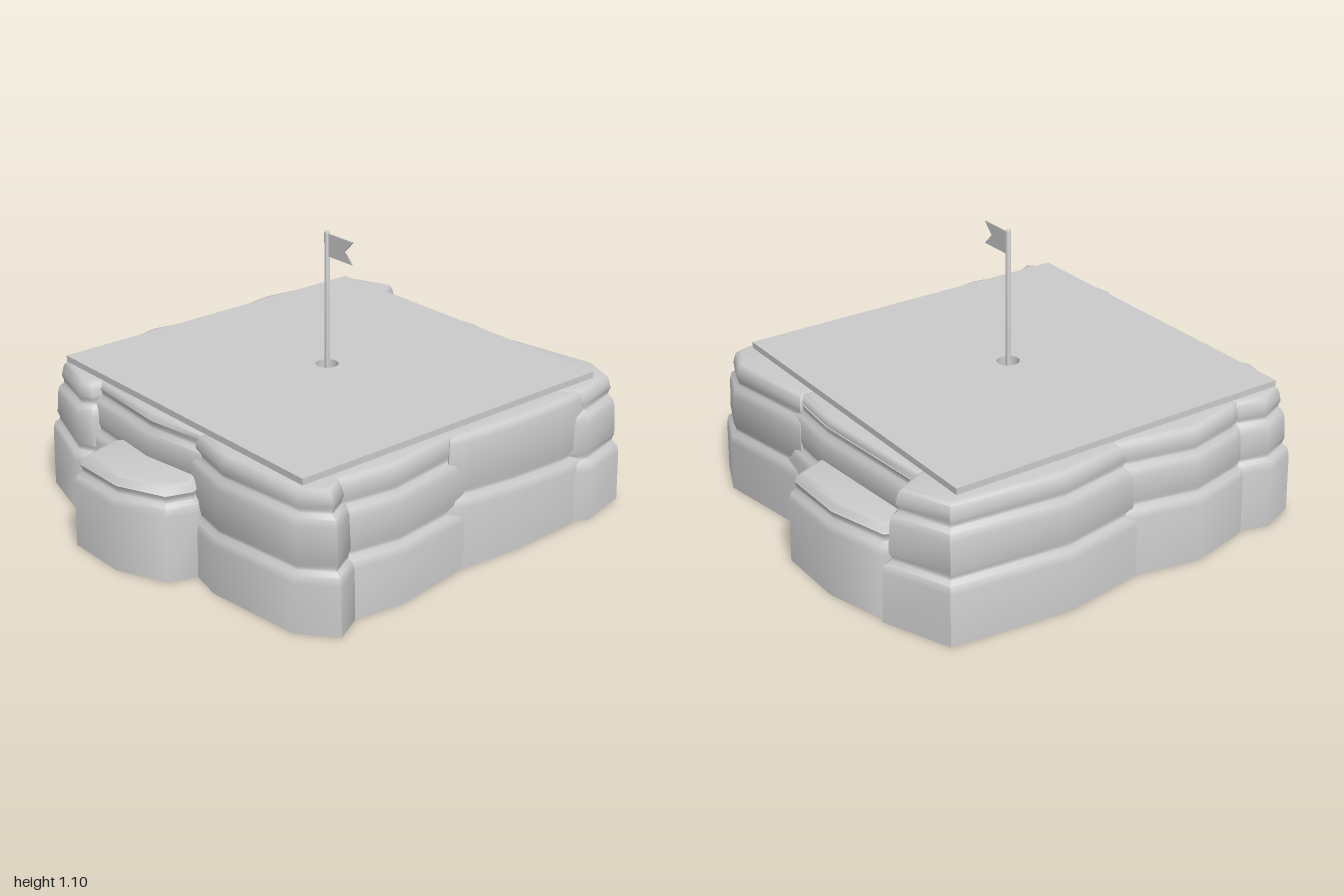
import * as THREE from 'three';
import { toCreasedNormals } from 'three/addons/utils/BufferGeometryUtils.js';

const grey = new THREE.MeshStandardMaterial({ color: 0xcccccc, side: THREE.DoubleSide });

// Moves every corner of an outline inwards by d (mitred).
function inset(pts, d) {
  const n = pts.length;
  return pts.map((p, i) => {
    const a = pts[(i + n - 1) % n], b = pts[(i + 1) % n];
    const u = new THREE.Vector2(p[0] - a[0], p[1] - a[1]).normalize();
    const v = new THREE.Vector2(b[0] - p[0], b[1] - p[1]).normalize();
    const k = d / Math.max(0.45, 1 + u.dot(v));
    return [p[0] + (u.y + v.y) * k, p[1] - (u.x + v.x) * k];
  });
}

// Hollow boulder: an outline [x, z] lofted through stepped layers.
// Each groove is [y, slope along x, slope along z].
function rock(name, outline, height, grooves) {
  const area = outline.reduce((s, p, i) => {
    const q = outline[(i + 1) % outline.length];
    return s + p[0] * q[1] - q[0] * p[1];
  }, 0);
  const pts = area > 0 ? outline.slice().reverse() : outline;
  const n = pts.length;
  const c = pts.reduce((s, p) => [s[0] + p[0] / n, s[1] + p[1] / n], [0, 0]);

  // profile rows: [y, inset, slope x, slope z]
  const rows = [[0, 0, 0, 0]];
  let d = 0.004;
  grooves.forEach(([g, sx = 0, sz = 0]) => {
    rows.push([g - 0.045, d, sx, sz], [g - 0.015, d + 0.007, sx, sz], [g, d + 0.024, sx, sz],
      [g + 0.012, d + 0.025, sx, sz], [g + 0.03, d + 0.018, sx, sz]);
    d += 0.023;
  });
  rows.push([height - 0.03, d, 0, 0], [height - 0.012, d + 0.006, 0, 0],
    [height - 0.003, d + 0.015, 0, 0], [height, d + 0.028, 0, 0]);

  const pos = [], idx = [];
  rows.forEach(([y, r, sx, sz]) => {
    inset(pts, r).forEach(([x, z]) => pos.push(x, y + sx * (x - c[0]) + sz * (z - c[1]), z));
  });
  for (let j = 0; j < rows.length - 1; j++) {
    for (let i = 0; i < n; i++) {
      const a = j * n + i, b = j * n + (i + 1) % n;
      idx.push(a, b, b + n, a, b + n, a + n);
    }
  }
  // flat cap
  const top = (rows.length - 1) * n;
  pos.push(c[0], height, c[1]);
  for (let i = 0; i < n; i++) idx.push(top + i, top + (i + 1) % n, top + n);

  const geo = new THREE.BufferGeometry();
  geo.setAttribute('position', new THREE.Float32BufferAttribute(pos, 3));
  geo.setIndex(idx);
  return mesh(name, toCreasedNormals(geo, 0.9));
}

function mesh(name, geometry, x = 0, y = 0, z = 0) {
  const m = new THREE.Mesh(geometry, grey);
  m.name = name;
  m.position.set(x, y, z);
  return m;
}

const vec = (list) => list.map(([x, y]) => new THREE.Vector2(x, y));

export function createModel() {
  const model = new THREE.Group();
  model.name = 'flagMound';

  // Ring of overlapping boulders
  const rocks = new THREE.Group();
  rocks.name = 'rocks';
  rocks.add(
    rock('frontLeftRock', [[0.08, 0.77], [0.35, 0.83], [0.75, 0.79], [0.88, 0.68], [0.81, 0.55],
      [0.5, 0.4], [0.15, 0.5]], 0.53, [[0.235, 0.01], [0.445]]),
    rock('frontMiddleRock', [[-0.58, 0.77], [-0.1, 0.81], [0.22, 0.765], [0.24, 0.6], [-0.15, 0.36],
      [-0.55, 0.6]], 0.53, [[0.34], [0.475]]),
    rock('frontRightRock', [[-0.8, 0.46], [-0.85, 0.62], [-0.79, 0.77], [-0.53, 0.84], [-0.45, 0.8],
      [-0.38, 0.55], [-0.55, 0.4]], 0.53, [[0.265, -0.12], [0.44]]),
    rock('rightFrontRock', [[-0.79, -0.14], [-0.83, -0.03], [-0.885, 0.24], [-0.83, 0.48], [-0.78, 0.58],
      [-0.55, 0.5], [-0.36, 0.22], [-0.55, -0.1]], 0.53, [[0.28], [0.44]]),
    rock('rightBackRock', [[-0.83, 0], [-0.885, -0.35], [-0.83, -0.83], [-0.56, -0.94],
      [-0.48, -0.8], [-0.38, -0.45], [-0.55, -0.02]], 0.53, [[0.25], [0.44]]),
    rock('backMiddleRock', [[-0.62, -0.82], [0, -0.865], [0.3, -0.84], [0.3, -0.6], [-0.1, -0.36],
      [-0.55, -0.55]], 0.53, [[0.33], [0.47]]),
    rock('backLeftRock', [[0.16, -0.85], [0.61, -0.92], [0.78, -0.85], [0.83, -0.63], [0.79, -0.52],
      [0.45, -0.4], [0.2, -0.55]], 0.53, [[0.25], [0.445]]),
    rock('leftBackRock', [[0.79, -0.7], [0.815, -0.5], [0.82, -0.25], [0.805, -0.03], [0.78, 0.1],
      [0.55, 0.05], [0.36, -0.25], [0.55, -0.62]], 0.525, [[0.28, 0, 0.04]]),
    rock('leftFrontRock', [[0.785, -0.06], [0.845, 0.36], [0.82, 0.56], [0.77, 0.7], [0.55, 0.62],
      [0.36, 0.25], [0.55, -0.04]], 0.53, [[0.24, 0, 0.02], [0.43]]),
    // low boulders used as steps
    rock('frontStepRock', [[-0.345, 0.8], [-0.28, 1], [-0.02, 1], [0.18, 0.91], [0.22, 0.79],
      [0.1, 0.6], [-0.25, 0.6]], 0.37, [[0.305]]),
    rock('backStepRock', [[-0.6, -0.84], [-0.55, -0.93], [-0.3, -1], [-0.01, -1], [0.06, -0.83],
      [-0.05, -0.62], [-0.45, -0.62]], 0.37, [[0.305]]),
  );
  model.add(rocks);

  // Square green with a round hole
  const c = -0.0135, half = 0.728, holeR = 0.045;
  const square = new THREE.Shape(vec([[-half, -half], [half, -half], [half, half], [-half, half]]));
  const hole = new THREE.Path();
  hole.absarc(0, 0, holeR, 0, Math.PI * 2, true);
  square.holes.push(hole);
  const slab = new THREE.ExtrudeGeometry(square, { depth: 0.025, bevelEnabled: false, curveSegments: 16 });
  slab.rotateX(-Math.PI / 2);
  model.add(mesh('green', slab, c, 0.53, c));

  // Deep cup below the hole
  const cup = new THREE.LatheGeometry(vec([[0, 0], [holeR, 0], [holeR, 0.25]]), 24);
  model.add(mesh('cup', toCreasedNormals(cup, 0.7), c, 0.303, c));

  // Pole with a rounded tip, standing in the cup
  const pole = new THREE.LatheGeometry(
    vec([[0.011, 0], [0.011, 0.785], [0.008, 0.792], [0, 0.795]]), 16);
  model.add(mesh('pole', toCreasedNormals(pole, 0.9), c, 0.305, c));

  // Swallow-tailed flag
  const flagShape = new THREE.Shape(vec([[0, 0], [0.15, 0], [0.105, 0.045], [0.15, 0.09], [0, 0.09]]));
  const flag = new THREE.ExtrudeGeometry(flagShape, { depth: 0.006, bevelEnabled: false });
  model.add(mesh('flag', flag, c, 0.998, c - 0.003));

  return model;
}
